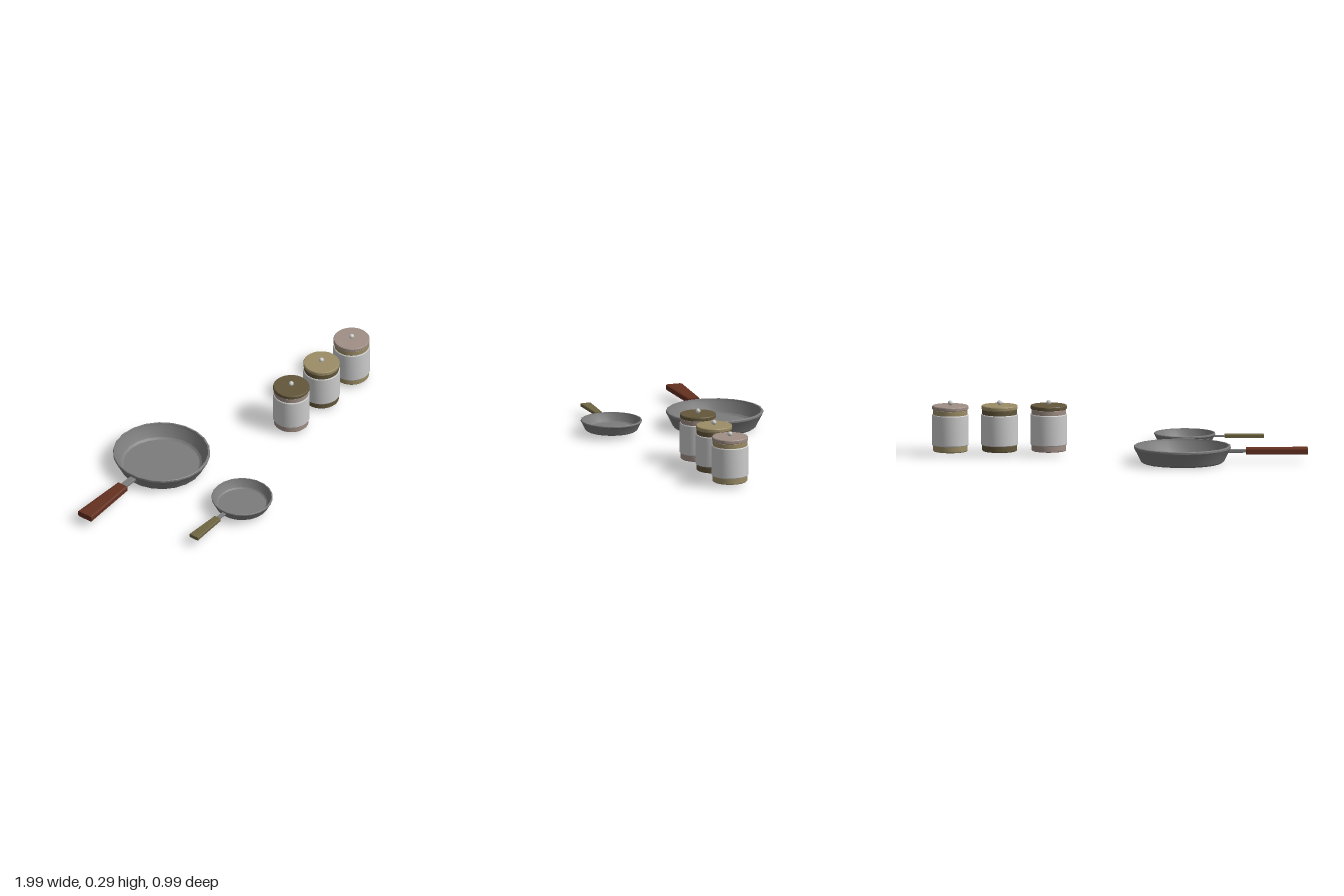
import * as THREE from 'three';
import { toCreasedNormals } from 'three/addons/utils/BufferGeometryUtils.js';

const mat = (color) => new THREE.MeshStandardMaterial({ color });
const steel = mat(0x7c7c7c);
const grey = mat(0xcccccc);
const brown = mat(0x63573a), tan = mat(0x9c8d66), rose = mat(0xa08f86);

function add(parent, name, geometry, material, x = 0, y = 0, z = 0) {
  const mesh = new THREE.Mesh(geometry, material);
  mesh.name = name;
  mesh.position.set(x, y, z);
  parent.add(mesh);
  return mesh;
}

// Turned solid from a list of [radius, height], bottom to top
function turned(profile, sides, crease) {
  const points = profile.map(([r, y]) => new THREE.Vector2(r, y));
  return toCreasedNormals(new THREE.LatheGeometry(points, sides), crease);
}

// Bar along -x with chamfered edges, widening from w0 to w1
function taperedBar(length, h, w0, w1, chamfer) {
  const a = 0.5, b = 0.5 - chamfer;
  const section = new THREE.Shape(
    [[a, -b], [a, b], [b, a], [-b, a], [-a, b], [-a, -b], [-b, -a], [b, -a]].map(([x, y]) => new THREE.Vector2(x, y)));
  const g = new THREE.ExtrudeGeometry(section, { depth: 1, bevelEnabled: false });
  const p = g.attributes.position;
  for (let i = 0; i < p.count; i++) {
    const t = p.getZ(i);
    p.setXYZ(i, p.getX(i) * (w0 + (w1 - w0) * t), p.getY(i) * h, t * length);
  }
  g.rotateY(-Math.PI / 2);
  g.computeVertexNormals();
  return g;
}

// Frying pan with its handle pointing to -x
function pan(name, handleColor) {
  const group = new THREE.Group();
  group.name = name;
  add(group, 'panBowl', turned([
    [0, 0], [0.212, 0], [0.224, 0.009], [0.256, 0.073], [0.26, 0.078], [0.26, 0.088], [0.257, 0.091],
    [0.249, 0.091], [0.246, 0.078], [0.216, 0.024], [0.204, 0.015], [0, 0.015],
  ], 22, 0.4), steel);
  add(group, 'handleShank', taperedBar(0.12, 0.016, 0.036, 0.036, 0.1), steel, -0.24, 0.06, 0);
  add(group, 'handleGrip', taperedBar(0.33, 0.032, 0.064, 0.092, 0.12), mat(handleColor), -0.34, 0.06, 0);
  return group;
}

// Storage jar with bands top and bottom, lid and knob
function jar(name, lid, band) {
  const group = new THREE.Group();
  group.name = name;
  const part = (n, profile, m) => add(group, n, turned(profile, 32, 0.5), m);
  part('jarBase', [[0, 0.02], [0.089, 0.02], [0.093, 0.024], [0.093, 0.06]], band);
  part('jarBody', [[0.09, 0.053], [0.096, 0.053], [0.0985, 0.057], [0.0985, 0.214], [0.096, 0.218], [0.085, 0.218]], grey);
  part('jarNeck', [[0.093, 0.21], [0.093, 0.242], [0.09, 0.245], [0, 0.245]], band);
  part('jarLid', [[0, 0.244], [0.094, 0.244], [0.097, 0.247], [0.097, 0.261], [0.094, 0.265], [0, 0.266]], lid);
  add(group, 'lidKnob', new THREE.SphereGeometry(0.013, 16, 12), grey, 0, 0.279, 0);
  return group;
}

export function createModel() {
  const model = new THREE.Group();
  model.name = 'kitchenSet';

  const large = pan('largePan', 0x64301f);
  large.position.set(-0.33, 0, -0.24);
  const small = pan('smallPan', 0x6f6543);
  small.scale.setScalar(0.63);
  small.position.set(-0.365, 0.02, 0.33);
  model.add(large, small);

  [[0.37, brown, rose], [0.633, tan, brown], [0.896, rose, tan]].forEach(([x, lid, band], i) => {
    const j = jar(`jar${i + 1}`, lid, band);
    j.position.set(x, 0, 0.093);
    model.add(j);
  });
  return model;
}
